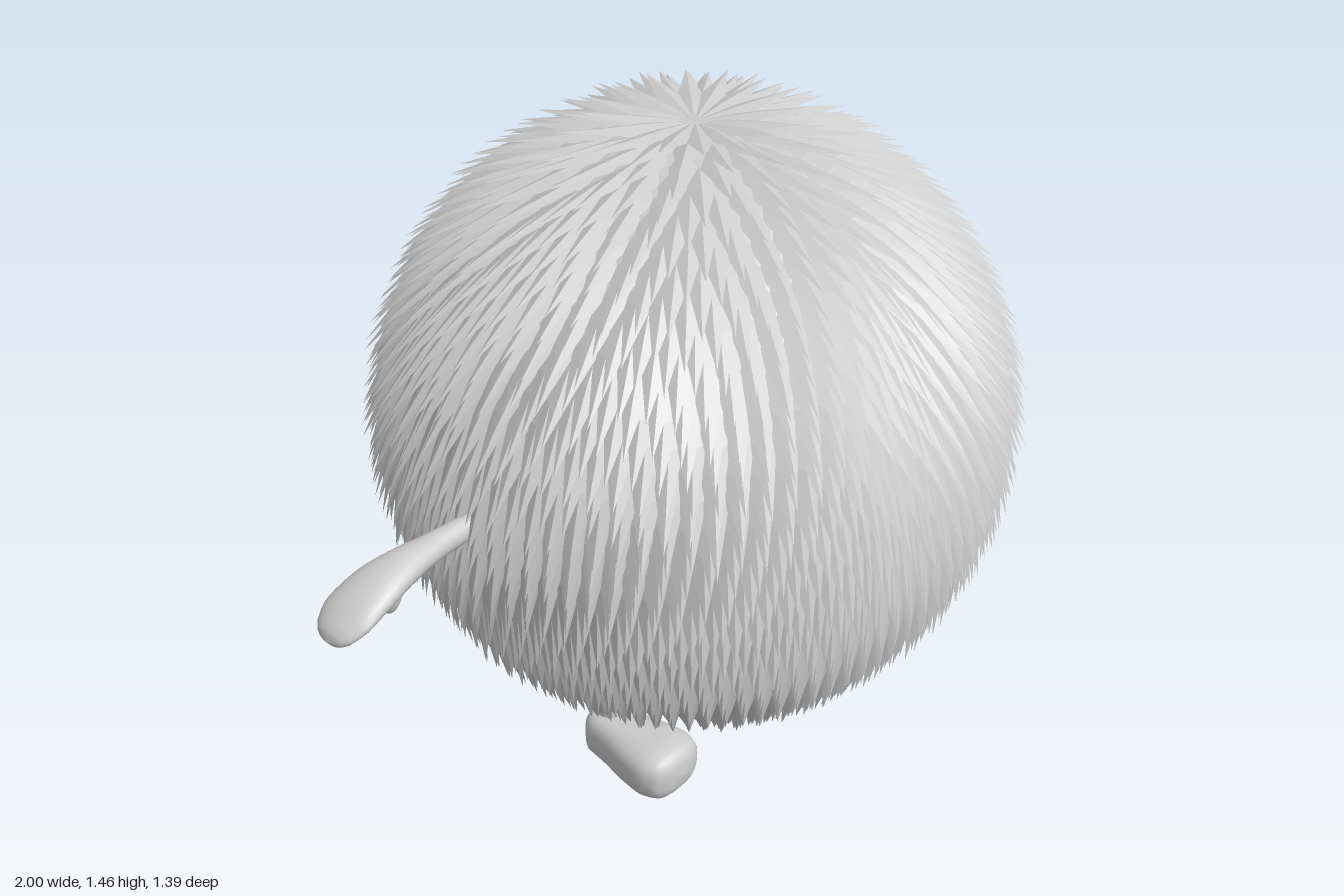
import * as THREE from 'three';

const CENTRE_Y = 0.795, RADIUS = 0.635;
const grey = new THREE.MeshStandardMaterial({ color: 0xcccccc });
const furGrey = new THREE.MeshStandardMaterial({ color: 0xcccccc, flatShading: true, side: THREE.DoubleSide });

function add(parent, name, geometry, material = grey) {
  const mesh = new THREE.Mesh(geometry, material);
  mesh.name = name;
  parent.add(mesh);
  return mesh;
}

// Smooth skin over rounded sections [position, centre offset, half width, half height] along z,
// with width along x and height along y; power below 1 gives boxier sections.
function loft(sections, power = 1, steps = 28, sides = 24) {
  const mid = new THREE.CatmullRomCurve3(sections.map(s => new THREE.Vector3(s[0], s[1], 0)));
  const size = new THREE.CatmullRomCurve3(sections.map(s => new THREE.Vector3(s[2], s[3], 0)));
  const pos = [], index = [];
  const round = v => Math.sign(v) * Math.abs(v) ** power;
  for (let i = 0; i <= steps; i++) {
    const c = mid.getPoint(i / steps), r = size.getPoint(i / steps);
    for (let j = 0; j < sides; j++) {
      const a = (j / sides) * Math.PI * 2;
      pos.push(Math.max(r.x, 0) * round(Math.cos(a)), c.y + Math.max(r.y, 0) * round(Math.sin(a)), c.x);
      if (i < steps) {
        const k = i * sides + j, n = i * sides + (j + 1) % sides;
        index.push(k, n, k + sides, n, n + sides, k + sides);
      }
    }
  }
  const g = new THREE.BufferGeometry();
  g.setAttribute('position', new THREE.Float32BufferAttribute(pos, 3));
  g.setIndex(index);
  g.computeVertexNormals();
  return g;
}

// Overlapping pointed blades combed from the crown down to the underside
function furGeometry() {
  const pos = [], rows = 38;
  let seed = 7;
  const random = () => (seed = (seed * 16807) % 2147483647) / 2147483647;
  for (let row = 0; row < rows; row++) {
    const theta = 0.03 + (row / (rows - 1)) * 2.87;
    const count = Math.max(16, Math.round(104 * Math.sin(theta)));
    const half = row === 0 ? 0.035 : 0.027;
    for (let i = 0; i < count; i++) {
      const phi = ((i + (row % 2) / 2) / count) * Math.PI * 2;
      const normal = new THREE.Vector3().setFromSphericalCoords(1, theta, phi);
      const down = new THREE.Vector3().setFromSphericalCoords(1, theta + Math.PI / 2, phi);
      const across = new THREE.Vector3(Math.cos(phi), 0, -Math.sin(phi));
      // shorter strands close to the bottom
      const length = (0.185 + 0.02 * random()) * (theta > 2.6 ? 0.75 : 1);
      const point = (a, d, n) => normal.clone().multiplyScalar(RADIUS + n)
        .addScaledVector(across, a).addScaledVector(down, d);
      const root = point(0, 0, 0.004), tip = point(0, length, 0.025 + 0.01 * random());
      const left = point(-half, length * 0.3, 0.004), right = point(half, length * 0.3, 0.004);
      const ridge = point(0, length * 0.35, 0.016);
      for (const p of [root, left, ridge, left, tip, ridge, tip, right, ridge, right, root, ridge]) {
        pos.push(p.x, p.y, p.z);
      }
    }
  }
  const g = new THREE.BufferGeometry();
  g.setAttribute('position', new THREE.Float32BufferAttribute(pos, 3));
  g.computeVertexNormals();
  return g;
}

// Arm reaching along +x, with a drooping mitten hand and a small thumb
function createArm() {
  const arm = new THREE.Group();
  add(arm, 'armAndHand', loft([
    [0.55, 0.832, 0.02, 0.024], [0.65, 0.833, 0.022, 0.025], [0.74, 0.835, 0.029, 0.026],
    [0.82, 0.834, 0.044, 0.029], [0.89, 0.822, 0.057, 0.029], [0.945, 0.803, 0.06, 0.025],
    [0.98, 0.785, 0.046, 0.02], [0.993, 0.778, 0.03, 0.014], [1, 0.774, 0, 0],
  ]).rotateY(Math.PI / 2));
  const thumb = add(arm, 'thumb', new THREE.SphereGeometry(1, 16, 12));
  thumb.scale.set(0.022, 0.047, 0.022);
  thumb.position.set(0.848, 0.798, 0);
  thumb.rotation.z = 0.25;
  return arm;
}

// Leg widening into the heel of a rounded foot that points forward
function createLeg() {
  const leg = new THREE.Group();
  add(leg, 'shin', loft([
    [0.06, 0, 0.035, 0.046], [0.12, 0.002, 0.025, 0.038], [0.17, 0, 0.022, 0.028],
    [0.24, 0, 0.021, 0.018], [0.36, 0, 0.02, 0.015],
  ]).rotateX(-Math.PI / 2));
  add(leg, 'foot', loft([
    [-0.047, 0.068, 0, 0], [-0.042, 0.068, 0.03, 0.038], [-0.02, 0.067, 0.052, 0.06],
    [0.04, 0.066, 0.062, 0.062], [0.1, 0.066, 0.077, 0.063], [0.16, 0.067, 0.085, 0.064],
    [0.2, 0.068, 0.073, 0.056], [0.217, 0.068, 0.045, 0.036], [0.223, 0.068, 0, 0],
  ], 0.75));
  return leg;
}

export function createModel() {
  const model = new THREE.Group();
  model.name = 'furryCreature';

  const body = new THREE.Group();
  body.name = 'body';
  body.position.y = CENTRE_Y;
  add(body, 'skin', new THREE.SphereGeometry(RADIUS, 64, 40));
  add(body, 'fur', furGeometry(), furGrey);
  model.add(body);

  for (const side of [1, -1]) {
    const label = side > 0 ? 'left' : 'right';
    const arm = createArm();
    arm.name = label + 'Arm';
    if (side < 0) arm.rotation.y = Math.PI;
    const leg = createLeg();
    leg.name = label + 'Leg';
    leg.position.x = side * 0.3;
    model.add(arm, leg);
  }
  return model;
}
